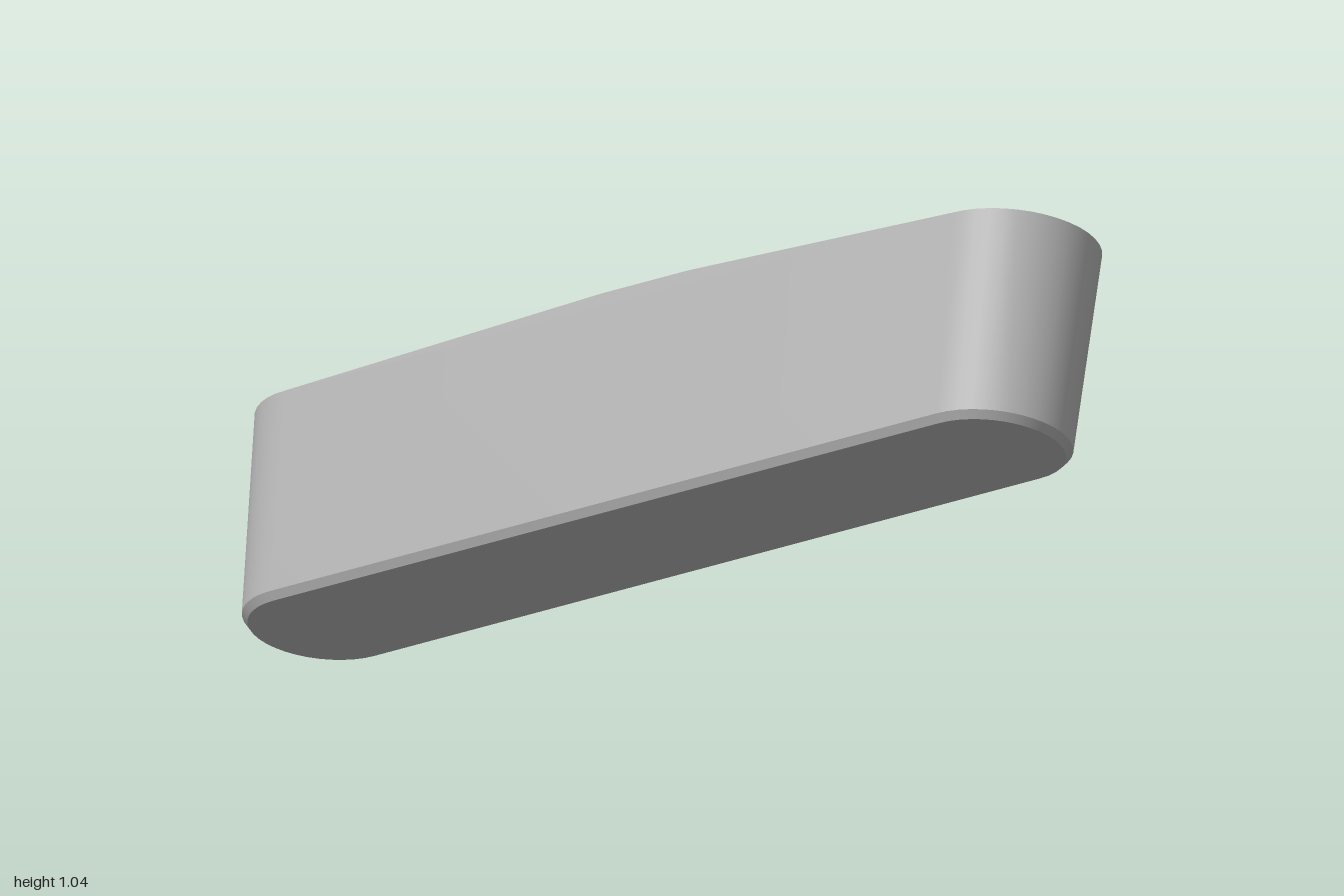
import * as THREE from 'three';
import { toCreasedNormals } from 'three/addons/utils/BufferGeometryUtils.js';
import { ConvexGeometry } from 'three/addons/geometries/ConvexGeometry.js';

const HALF_STRAIGHT = 0.83; // half length between the round end centres
const SEGMENTS = 20; // per round end

// Points of a long round-ended outline at one height
function outline(radius, height) {
  const points = [];
  for (const end of [1, -1]) {
    for (let i = 0; i <= SEGMENTS; i++) {
      const a = (i / SEGMENTS) * Math.PI;
      points.push(new THREE.Vector3(
        end * radius * Math.cos(a), height, end * (HALF_STRAIGHT + radius * Math.sin(a))));
    }
  }
  return points;
}

export function createModel() {
  const group = new THREE.Group();
  const grey = new THREE.MeshStandardMaterial({ color: 0xb0b0b0 });
  grey.name = 'grey';

  // Tapered wall with a small bevel round the flat underside
  const points = [...outline(0.17, 0), ...outline(0.155, -0.405), ...outline(0.143, -0.42)];

  // Small off-centre plateau that lifts the top into a shallow faceted crown
  for (const [w, l] of [[-0.105, 0.11], [-0.03, 0.135], [0, 0.11]]) {
    for (const side of [1, -1]) points.push(new THREE.Vector3(w, 0.066, side * l));
  }

  const geometry = toCreasedNormals(new ConvexGeometry(points), 0.25);

  // Rolled about its length, then tipped up at the front
  const roll = new THREE.Matrix4().makeRotationZ(-Math.PI / 6);
  const tip = new THREE.Matrix4().makeRotationX(-0.316);
  geometry.applyMatrix4(tip.multiply(roll));
  geometry.computeBoundingBox();
  const { min, max } = geometry.boundingBox;
  geometry.translate(-(min.x + max.x) / 2, -min.y, -(min.z + max.z) / 2);

  const body = new THREE.Mesh(geometry, grey);
  body.name = 'body';
  group.add(body);
  return group;
}
